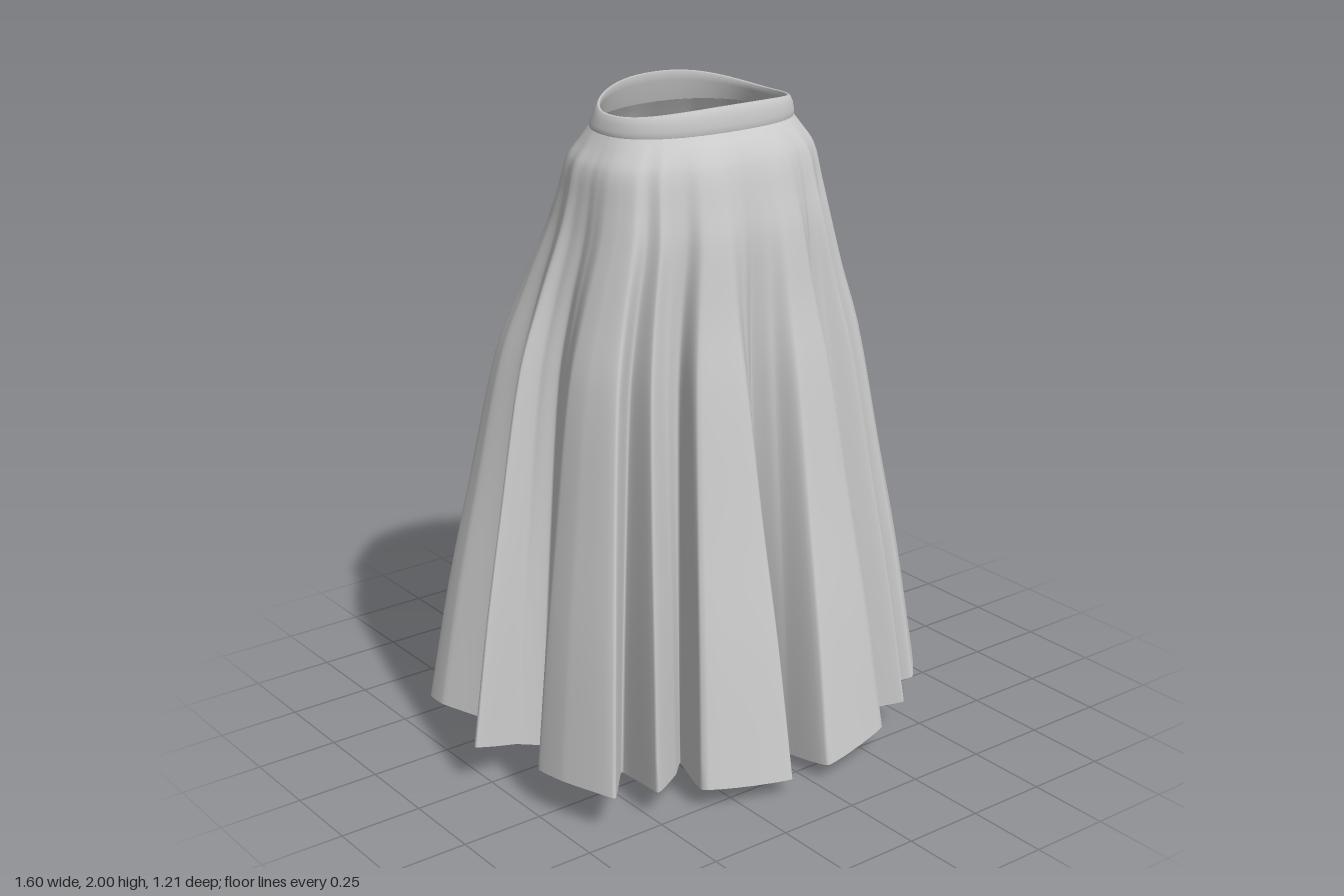
import * as THREE from 'three';

// Hem outline (x, z), counter-clockwise from the front centre pleat
const HEM = [
  [-0.02, 0.34], [0.01, 0.45], [0.04, 0.6], [0.31, 0.535], [0.27, 0.42], [0.25, 0.34], [0.33, 0.39],
  [0.455, 0.475], [0.42, 0.36], [0.41, 0.27], [0.57, 0.39], [0.745, 0.18], [0.62, 0.08], [0.54, 0.04],
  [0.69, 0.03], [0.8, -0.01], [0.68, -0.06], [0.56, -0.1], [0.68, -0.14], [0.8, -0.19], [0.69, -0.235],
  [0.5, -0.24], [0.28, -0.32], [0.34, -0.44], [0.39, -0.55], [0.2, -0.44], [0.14, -0.53], [0, -0.61],
  [-0.03, -0.605], [0.04, -0.46], [0.04, -0.36], [-0.2, -0.42], [-0.25, -0.42], [-0.31, -0.53], [-0.43, -0.565],
  [-0.35, -0.4], [-0.34, -0.34], [-0.44, -0.41], [-0.56, -0.47], [-0.53, -0.37], [-0.49, -0.28], [-0.58, -0.35],
  [-0.7, -0.42], [-0.7, -0.35], [-0.62, -0.2], [-0.8, -0.01], [-0.65, -0.02], [-0.57, 0.01], [-0.63, 0.09],
  [-0.71, 0.19], [-0.7, 0.3], [-0.64, 0.47], [-0.48, 0.28], [-0.49, 0.47], [-0.35, 0.37], [-0.28, 0.3],
  [-0.36, 0.51], [-0.1, 0.6], [-0.06, 0.46],
];
const PER = 7;
const COUNT = HEM.length * PER;

// Cloth profile: height, half width, front depth, back depth, pull toward the hem outline
const PROFILE = [
  [1.89, 0.314, 0.236, 0.192, 0], [1.85, 0.338, 0.262, 0.215, 0.01], [1.8, 0.365, 0.282, 0.238, 0.03],
  [1.7, 0.378, 0.3, 0.258, 0.06], [1.6, 0.385, 0.31, 0.275, 0.11], [1.4, 0.405, 0.3, 0.31, 0.24],
  [1.2, 0.42, 0.29, 0.33, 0.395], [0.8, 0.43, 0.29, 0.345, 0.61], [0.45, 0.43, 0.29, 0.345, 0.81],
  [0.05, 0.43, 0.29, 0.345, 1],
];

// Rounded oval ring point, squared off a little
function oval(a, rx, front, back) {
  const s = Math.sin(a), c = Math.cos(a);
  const p = (v) => Math.sign(v) * Math.abs(v) ** 0.88;
  const mid = (front - back) / 2, rz = (front + back) / 2;
  return [rx * p(s) - 0.02, mid + rz * p(c)];
}

// Height of the waist edge: low at the sides, highest at the back
const rimLift = (a) => (Math.cos(a) > 0 ? 0.025 : 0.055) * Math.cos(a) ** 2;

// Surface through closed rings running from top to bottom
function loft(rings, material, name) {
  const n = rings[0].length, index = [];
  for (let r = 0; r < rings.length - 1; r++) {
    for (let i = 0; i < n; i++) {
      const a = r * n + i, b = r * n + (i + 1) % n;
      index.push(a, a + n, b + n, a, b + n, b);
    }
  }
  const geometry = new THREE.BufferGeometry();
  geometry.setAttribute('position', new THREE.Float32BufferAttribute(rings.flat(2), 3));
  geometry.setIndex(index);
  geometry.computeVertexNormals();
  const mesh = new THREE.Mesh(geometry, material);
  mesh.name = name;
  return mesh;
}

// Hem samples, each with the angle it hangs from at the waist:
// a smoothed mix of its direction and the length of cloth up to it
function hemSamples() {
  const curve = new THREE.CatmullRomCurve3(
    HEM.map(([x, z]) => new THREE.Vector3(x, 0, z)), true, 'catmullrom', 0.15);
  const points = curve.getPoints(COUNT).slice(0, COUNT);
  const lengths = curve.getLengths(COUNT);
  const raw = [], mixed = [];
  points.forEach((p, i) => {
    let a = Math.atan2(p.x / 0.75, p.z / 0.58);
    if (i) a += Math.round((raw[i - 1] - a) / (2 * Math.PI)) * 2 * Math.PI;
    raw.push(a);
    mixed.push(THREE.MathUtils.lerp(a, lengths[i] / lengths[COUNT] * 2 * Math.PI, 0.35));
  });
  const at = (i) => mixed[(i + COUNT) % COUNT] + Math.floor(i / COUNT) * 2 * Math.PI;
  const W = PER * 2;
  return points.map(({ x, z }, i) => {
    let sum = 0;
    for (let k = -W; k <= W; k++) sum += at(i + k);
    // The hem rises where the cloth swings further out, and dips at the back
    const front = 0.015 * THREE.MathUtils.clamp(z / 0.4, -1, 1);
    return { x, z, y: 0.003 + 0.2 * x * x + 0.1 * z * z + front, a: sum / (2 * W + 1) };
  });
}

export function createModel() {
  const group = new THREE.Group();
  group.name = 'skirt';
  const cloth = new THREE.MeshStandardMaterial({ color: 0xcccccc, side: THREE.DoubleSide });
  cloth.name = 'light grey cloth';

  // Pleated cloth: smooth at the hips, opening into deep folds at the hem
  const hem = hemSamples();
  const curves = [1, 2, 3, 4].map((c) => new THREE.CatmullRomCurve3(
    PROFILE.map((p) => new THREE.Vector3(p[c], p[0], 0))));
  const rings = [];
  const STEPS = 36;
  for (let s = 0; s <= STEPS; s++) {
    const [w, f, b, pull] = curves.map((c) => c.getPoint(s / STEPS).x);
    const y = curves[0].getPoint(s / STEPS).y;
    const low = (1.89 - y) / 1.84;
    rings.push(hem.map((h) => {
      const [x, z] = oval(h.a, w, f, b);
      return [x + (h.x - x) * pull, y + (h.y - 0.05) * low + rimLift(h.a) * 0.3 * (1 - low),
        z + (h.z - z) * pull];
    }));
  }
  group.add(loft(rings, cloth, 'pleatedCloth'));

  // Waistband: up the lining, over the rolled top edge and down the outer face
  const BAND = [
    [1.89, 0.305, 0.228, 0.184, 0.3], [1.925, 0.29, 0.222, 0.163, 0.8], [1.941, 0.288, 0.222, 0.159, 1],
    [1.945, 0.292, 0.226, 0.163, 1], [1.941, 0.298, 0.231, 0.168, 1], [1.925, 0.306, 0.237, 0.176, 0.8],
    [1.905, 0.313, 0.239, 0.188, 0.45], [1.895, 0.315, 0.238, 0.193, 0.3], [1.888, 0.314, 0.236, 0.192, 0.3],
  ];
  const band = BAND.map(([y, w, f, b, lift]) => Array.from({ length: 72 }, (_, i) => {
    const a = i / 72 * Math.PI * 2;
    const [x, z] = oval(a, w, f, b);
    return [x, y + rimLift(a) * lift, z];
  }));
  group.add(loft(band, cloth, 'waistband'));
  return group;
}
